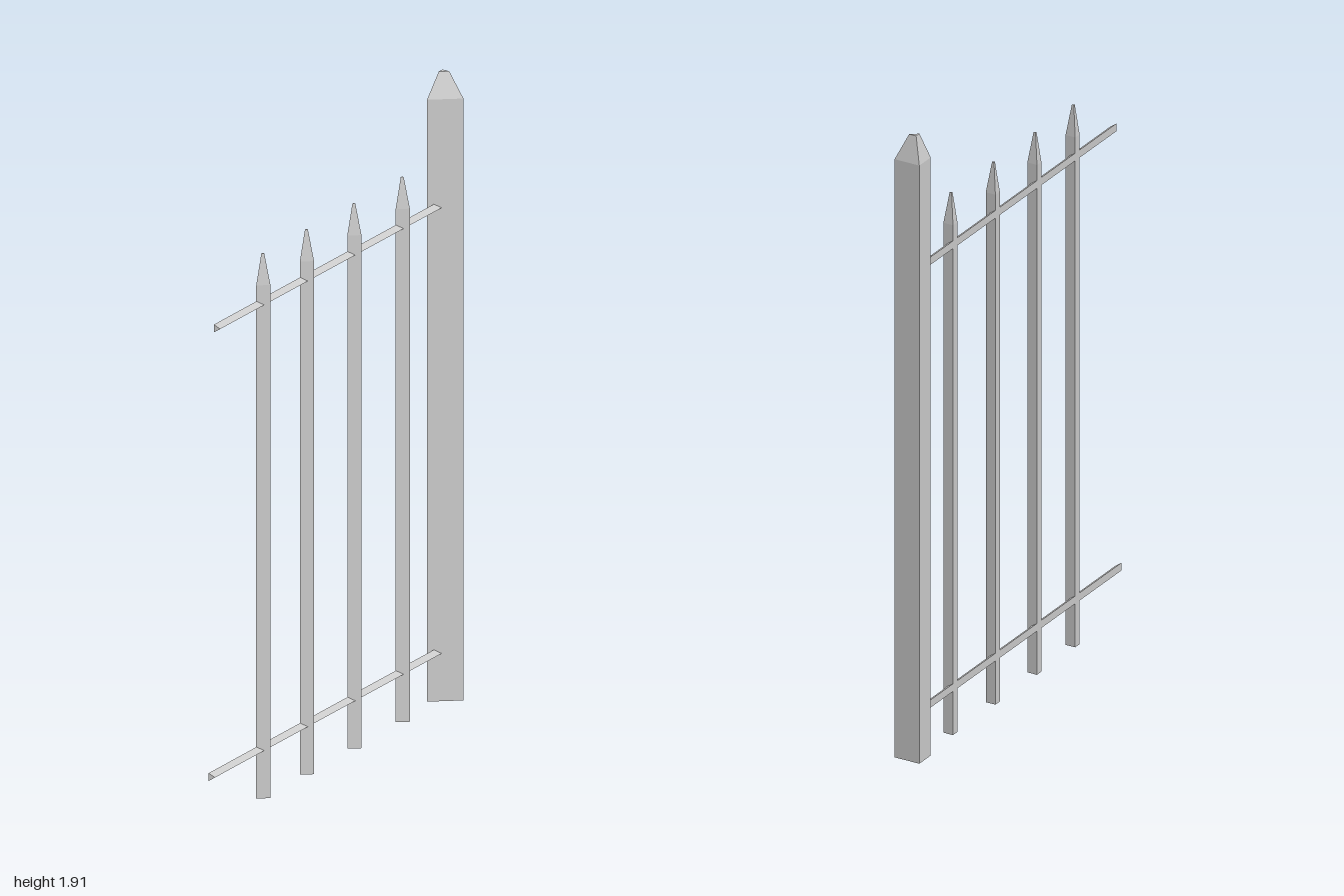
import * as THREE from 'three';

const material = new THREE.MeshStandardMaterial({ color: 0xcccccc, flatShading: true });

// Closed upright three-sided bar with a tapered tip, one edge pointing to +x
function stake(name, radius, tipRadius, shoulder, top, x, z) {
  // radii from the ground up; the closing points on the axis cap both ends
  const profile = [[0, 0], [radius, 0], [radius, shoulder], [tipRadius, top], [0, top]]
    .map(([r, y]) => new THREE.Vector2(r, y));
  const geometry = new THREE.LatheGeometry(profile, 3).rotateY(Math.PI / 2);
  const mesh = new THREE.Mesh(geometry, material);
  mesh.name = name;
  mesh.position.set(x, 0, z);
  return mesh;
}

// Horizontal three-sided rail running along z, one edge pointing to +x
function rail(name, y, zFront, zBack) {
  const geometry = new THREE.CylinderGeometry(0.0137, 0.0137, zFront - zBack, 3)
    .rotateY(Math.PI / 2)
    .rotateX(Math.PI / 2);
  const mesh = new THREE.Mesh(geometry, material);
  mesh.name = name;
  mesh.position.set(-0.025, y, (zFront + zBack) / 2);
  return mesh;
}

export function createModel() {
  const fence = new THREE.Group();
  fence.name = 'fenceSection';

  // Thick end post
  fence.add(stake('post', 0.0635, 0.018, 1.83, 1.91, -0.018, -0.945));

  // Slim pickets
  [0.575, 0.207, -0.193, -0.601].forEach((z, i) =>
    fence.add(stake(`picket${i + 1}`, 0.0247, 0.005, 1.56, 1.655, -0.02, z)));

  // Rails, with the lower one reaching a little further out
  fence.add(rail('upperRail', 1.5, 0.955, -0.92));
  fence.add(rail('lowerRail', 0.145, 1.0, -0.92));

  return fence;
}
